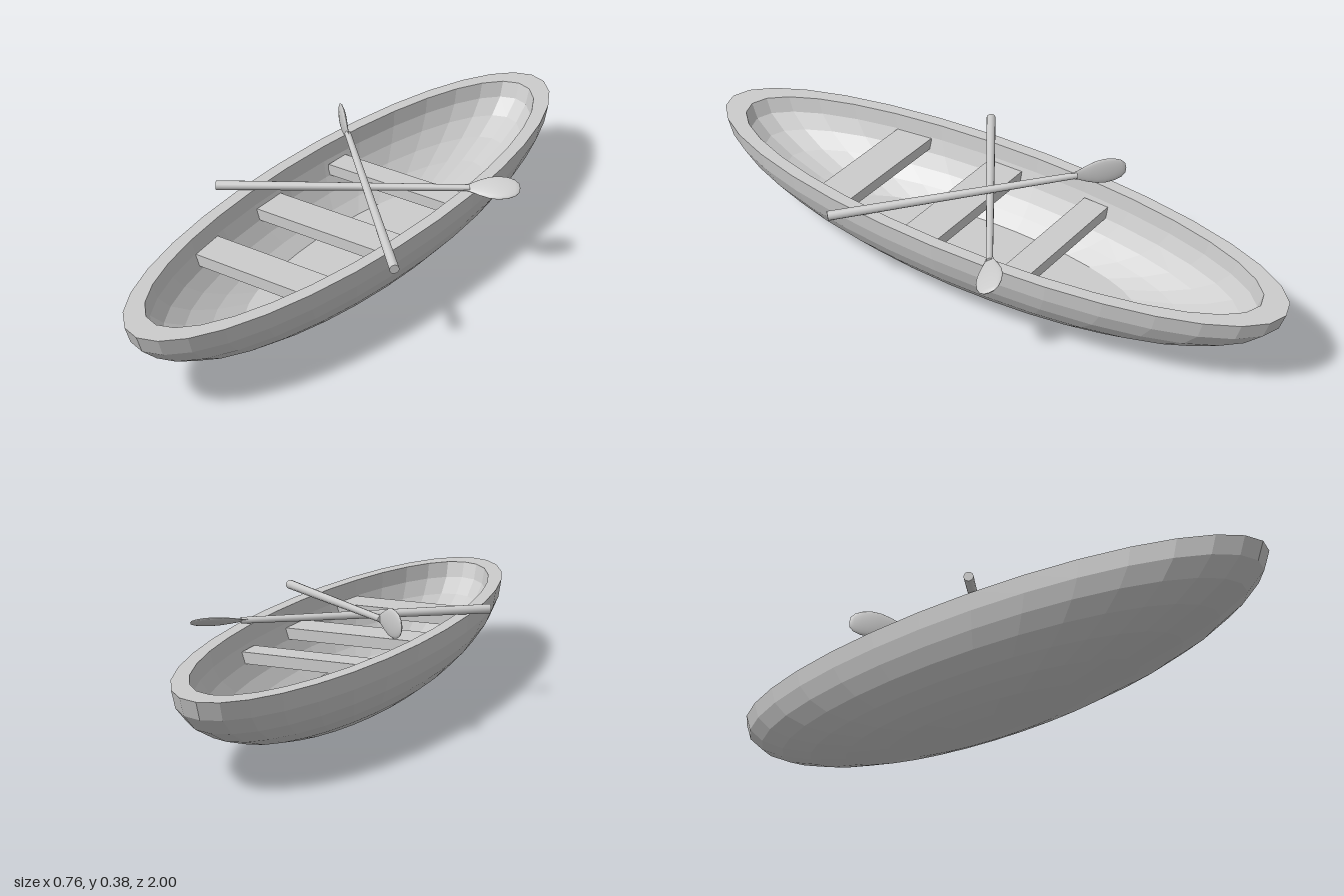
import * as THREE from 'three';

const grey = new THREE.MeshStandardMaterial({ color: 0xcccccc });
const faceted = new THREE.MeshStandardMaterial({ color: 0xcccccc, flatShading: true });
const V = (x, y, z) => new THREE.Vector3(x, y, z);

const CENTRE = -0.025; // keel line
const RIM = 0.275;

function add(parent, name, geometry, material) {
  const mesh = new THREE.Mesh(geometry, material);
  mesh.name = name;
  parent.add(mesh);
  return mesh;
}

// Half-ellipsoid shell: outer skin up to the rim, inner skin down to a flat floor
function hullGeometry() {
  const outer = { x: 0.297, y: 0.273, z: 1 };
  const inner = { x: 0.258, y: 0.25, z: 0.92 };
  const step = Math.PI / 16;
  const rings = [];
  const ring = (size, k) => rings.push({ r: Math.cos(k * step), y: RIM - Math.sin(k * step) * size.y, size });
  for (let k = 8; k >= 0; k--) ring(outer, k);
  for (let k = 0; k <= 5; k++) ring(inner, k);
  rings.push({ r: 0, y: rings[rings.length - 1].y, size: inner });

  const g = new THREE.LatheGeometry(rings.map(p => new THREE.Vector2(p.r, p.y)), 32);
  const pos = g.attributes.position;
  for (let i = 0; i < pos.count; i++) {
    const { size } = rings[i % rings.length];
    pos.setX(i, pos.getX(i) * size.x);
    pos.setZ(i, pos.getZ(i) * size.z);
  }
  g.computeVertexNormals();
  return g;
}

// Bench plank with ends narrowed towards the bow and stern
function addSeat(parent, name, z, depth, top, halfBack, halfFront) {
  const thick = 0.035;
  const g = new THREE.BoxGeometry(2, thick, depth);
  const pos = g.attributes.position;
  for (let i = 0; i < pos.count; i++) {
    pos.setX(i, pos.getX(i) * (pos.getZ(i) < 0 ? halfBack : halfFront));
  }
  add(parent, name, g, faceted).position.set(CENTRE, top - thick / 2, z);
}

// Oar from handle end to blade tip; "across" points along the blade's width
function addOar(parent, name, handle, tip, across) {
  const oar = new THREE.Group();
  oar.name = name;
  const dir = tip.clone().sub(handle);
  const length = dir.length();
  dir.normalize();
  const normal = across.clone().cross(dir).normalize();
  const width = dir.clone().cross(normal);
  oar.quaternion.setFromRotationMatrix(new THREE.Matrix4().makeBasis(width, dir, normal));
  oar.position.copy(handle);

  const shaftLength = length - 0.15;
  const shaft = new THREE.CylinderGeometry(0.01, 0.0145, shaftLength, 12);
  add(oar, 'shaft', shaft.translate(0, shaftLength / 2, 0), grey);

  // Rounded paddle, flattened
  const outline = [[0, 0], [0.01, 0], [0.015, 0.02], [0.029, 0.05], [0.039, 0.078], [0.0425, 0.105],
    [0.039, 0.133], [0.03, 0.155], [0.017, 0.167], [0, 0.17]].map(p => new THREE.Vector2(...p));
  const blade = add(oar, 'blade', new THREE.LatheGeometry(outline, 20), grey);
  blade.position.y = length - 0.17;
  blade.scale.z = 0.2;
  parent.add(oar);
}

export function createModel() {
  const boat = new THREE.Group();
  boat.name = 'rowingBoat';

  add(boat, 'hull', hullGeometry(), faceted).position.x = CENTRE;

  addSeat(boat, 'rearSeat', -0.228, 0.085, 0.215, 0.235, 0.238);
  addSeat(boat, 'middleSeat', 0.11, 0.12, 0.215, 0.246, 0.243);
  addSeat(boat, 'frontSeat', 0.44, 0.12, 0.225, 0.225, 0.208);

  // Crossed oars resting over the rim
  addOar(boat, 'lowerOar', V(-0.37, 0.292, 0.235), V(0.375, 0.288, -0.28), V(-0.57, 0.5, -0.82));
  addOar(boat, 'upperOar', V(0.338, 0.285, 0.325), V(-0.305, 0.347, -0.302), V(0, 1, 0));

  return boat;
}
